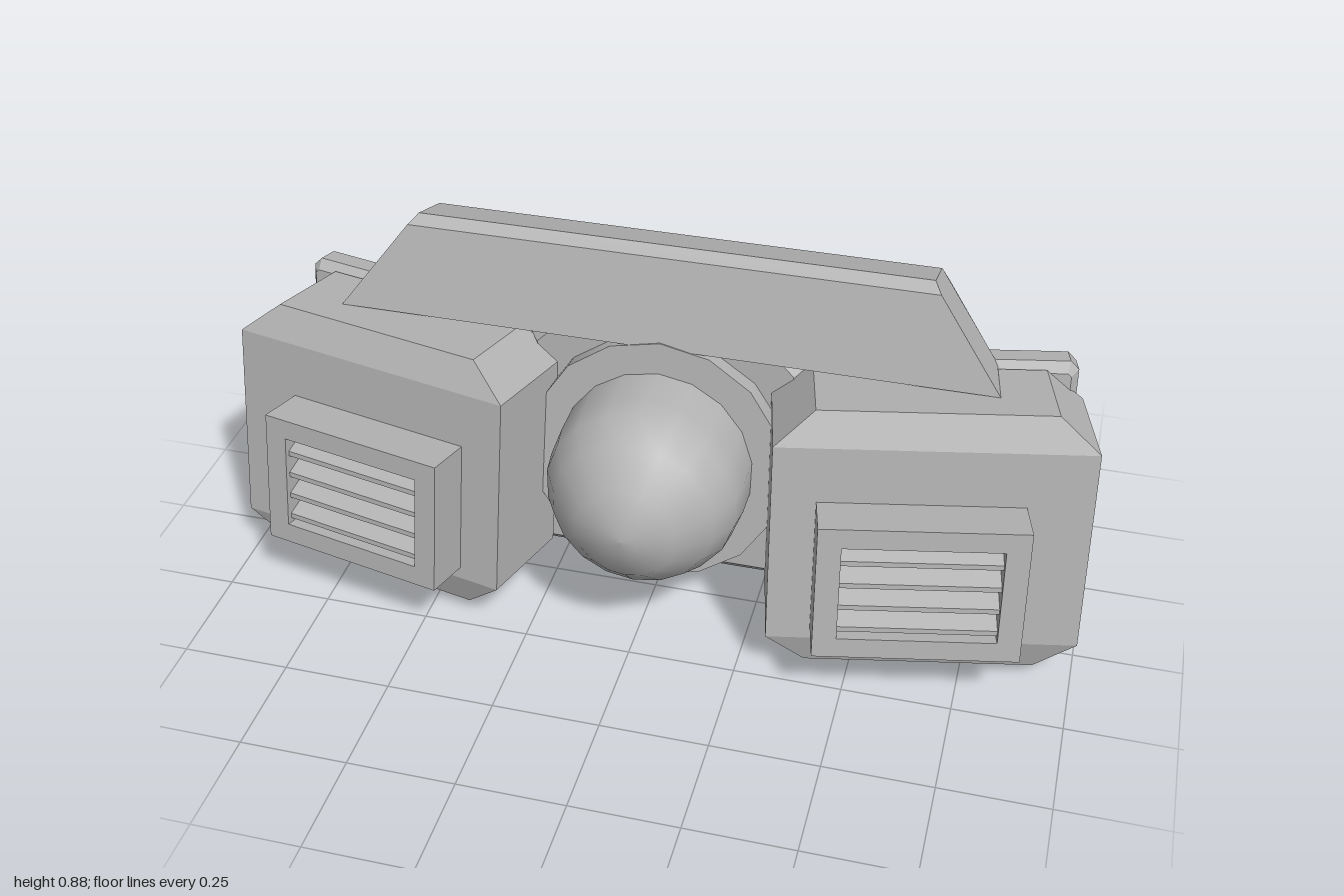
import * as THREE from 'three';
import { ConvexGeometry } from 'three/addons/geometries/ConvexGeometry.js';

const grey = new THREE.MeshStandardMaterial({ color: 0xb4b4b4 });
grey.name = 'plain grey';
const PITCH = -0.131;

function add(parent, name, geometry, x = 0, y = 0, z = 0) {
  const mesh = new THREE.Mesh(geometry, grey);
  mesh.name = name;
  mesh.position.set(x, y, z);
  parent.add(mesh);
  return mesh;
}

// Centred block with cut corners and a bevelled front and back rim
function cutBlock(w, h, d, cut, bevel, rim = bevel) {
  const a = w / 2, b = h / 2;
  const shape = new THREE.Shape([
    [-a + cut, -b], [a - cut, -b], [a, -b + cut], [a, b - cut],
    [a - cut, b], [-a + cut, b], [-a, b - cut], [-a, -b + cut],
  ].map(([x, y]) => new THREE.Vector2(x, y)));
  const g = new THREE.ExtrudeGeometry(shape, {
    depth: d - 2 * rim, bevelSegments: 1,
    bevelSize: bevel, bevelThickness: rim, bevelOffset: -bevel,
  });
  return g.translate(0, 0, -d / 2 + rim);
}

// Eight-sided pod shell whose top and bottom edges are set back at front and rear
function podShell() {
  const points = [];
  for (const x of [-1, 1]) for (const y of [-1, 1]) {
    for (const [z, set] of [[0.13, 0.03], [-0.14, -0.018]]) {
      points.push(new THREE.Vector3(x * 0.35, y * 0.243, z));
      points.push(new THREE.Vector3(x * 0.26, y * 0.32, z - set));
    }
  }
  return new ConvexGeometry(points);
}

// Rectangular frame with a rectangular opening
function frame(w, h, d, holeW, holeH) {
  const rect = (Type, a, b) => new Type([
    new THREE.Vector2(-a / 2, -b / 2), new THREE.Vector2(a / 2, -b / 2),
    new THREE.Vector2(a / 2, b / 2), new THREE.Vector2(-a / 2, b / 2),
  ]);
  const shape = rect(THREE.Shape, w, h);
  shape.holes.push(rect(THREE.Path, holeW, holeH));
  return new THREE.ExtrudeGeometry(shape, { depth: d, bevelEnabled: false });
}

// Wedge louvre running along x, sloping down to the front
function louvre(w) {
  const shape = new THREE.Shape([
    new THREE.Vector2(0, -0.02), new THREE.Vector2(0.06, -0.02),
    new THREE.Vector2(0.06, -0.008), new THREE.Vector2(0, 0.022),
  ]);
  return new THREE.ExtrudeGeometry(shape, { depth: w, bevelEnabled: false })
    .rotateY(-Math.PI / 2).translate(w / 2, 0, 0);
}

// Side pod with louvred box, rear plate and bolt; s = 1 for left, -1 for right
function createPod(s) {
  const pod = new THREE.Group();
  pod.name = s > 0 ? 'leftPod' : 'rightPod';
  pod.position.set(s * 0.628, 0.339, 0.014);
  pod.rotation.set(PITCH, s * 0.21, 0, 'YXZ');
  add(pod, 'podBody', podShell());

  const vent = new THREE.Group();
  vent.name = 'vent';
  vent.position.set(-s * 0.023, -0.052, 0.122);
  pod.add(vent);
  add(vent, 'ventFrame', frame(0.456, 0.325, 0.122, 0.35, 0.23));
  add(vent, 'ventBack', new THREE.BoxGeometry(0.35, 0.23, 0.04), 0, 0, 0.03);
  for (let i = 0; i < 4; i++) {
    add(vent, 'louvre', louvre(0.35), 0, -0.083 + i * 0.056, 0.05);
  }

  add(pod, 'rearPlate', cutBlock(0.586, 0.6, 0.1, 0.02, 0.02, 0.025), s * 0.042, 0.033, -0.17);
  const bolt = new THREE.Group();
  bolt.name = 'bolt';
  bolt.position.set(s * 0.25, -0.155, -0.222);
  bolt.rotation.x = -Math.PI / 2;
  pod.add(bolt);
  add(bolt, 'boltWasher', new THREE.CylinderGeometry(0.066, 0.068, 0.02, 14));
  add(bolt, 'boltHead', new THREE.CylinderGeometry(0.045, 0.045, 0.01, 6), 0, 0.012, 0);
  return pod;
}

// Rear cover whose front side leans back towards the top
function rearCover() {
  const g = cutBlock(0.88, 0.7, 0.14, 0.03, 0.04, 0.03);
  const p = g.attributes.position;
  for (let i = 0; i < p.count; i++) {
    if (p.getZ(i) > 0) p.setZ(i, p.getZ(i) - 0.08 * p.getY(i));
  }
  g.computeVertexNormals();
  return g;
}

export function createModel() {
  const model = new THREE.Group();
  model.name = 'deviceModel';
  for (const s of [1, -1]) model.add(createPod(s));

  // Centre body and large rear plate
  add(model, 'centreBody', cutBlock(0.64, 0.61, 0.17, 0.045, 0.02), 0, 0.355, -0.14).rotation.x = PITCH / 2;
  add(model, 'rearCover', rearCover(), 0, 0.35, -0.258);

  // Pointed lens on a tilted round collar
  const collar = add(model, 'lensCollar',
    new THREE.CylinderGeometry(0.302, 0.302, 0.08, 16), 0, 0.37, -0.035);
  collar.rotation.x = Math.PI / 2 + PITCH;
  const profile = [
    [0.23, -0.05], [0.23, 0.08], [0.222, 0.14], [0.187, 0.205],
    [0.115, 0.277], [0.035, 0.304], [0, 0.308],
  ].map(([r, z]) => new THREE.Vector2(r, z));
  add(model, 'lensDome', new THREE.LatheGeometry(profile, 18), 0, 0.37, 0).rotation.x = Math.PI / 2;

  // Leaning top bar with slanted ends: half width, y, z of each long edge
  const edges = [
    [0.762, 0.66, -0.035], [0.608, 0.86, -0.095], [0.59, 0.877, -0.125],
    [0.59, 0.833, -0.255], [0.607, 0.8, -0.267], [0.738, 0.64, -0.2],
  ];
  add(model, 'topBar', new ConvexGeometry(edges.flatMap(([x, y, z]) => [
    new THREE.Vector3(x, y, z), new THREE.Vector3(-x, y, z),
  ])));
  return model;
}
